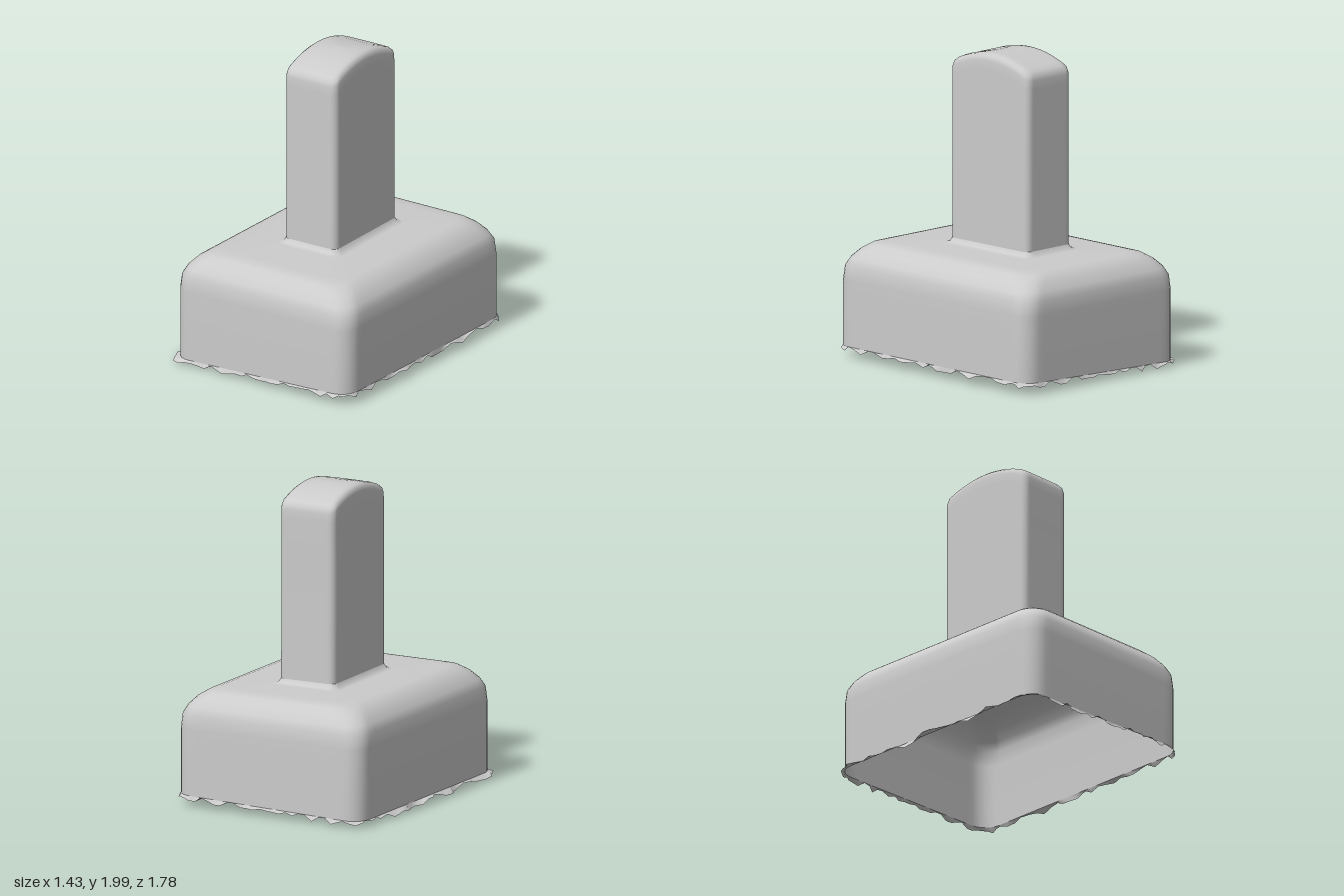
import * as THREE from 'three';

const material = new THREE.MeshStandardMaterial({ color: 0xcccccc, side: THREE.DoubleSide });

// small seeded generator for the ragged rim
let seed = 7;
const rand = () => (seed = (seed * 16807) % 2147483647) / 2147483647;

// closed rounded rectangle, the same point count for every size
function roundedRect(hx, hz, r, perSide, perCorner = 6) {
  const pts = [];
  const corners = [[1, 1], [-1, 1], [-1, -1], [1, -1]];
  corners.forEach(([sx, sz], k) => {
    const arc = [];
    for (let i = 0; i <= perCorner; i++) {
      const a = (k + i / perCorner) * Math.PI / 2;
      arc.push([sx * (hx - r) + r * Math.cos(a), sz * (hz - r) + r * Math.sin(a)]);
    }
    pts.push(...arc);
    // straight run to the next corner
    const [nx, nz] = corners[(k + 1) % 4];
    const a = (k + 1) * Math.PI / 2;
    const end = [nx * (hx - r) + r * Math.cos(a), nz * (hz - r) + r * Math.sin(a)];
    const start = arc[perCorner];
    for (let i = 1; i < perSide; i++) {
      const t = i / perSide;
      pts.push([start[0] + (end[0] - start[0]) * t, start[1] + (end[1] - start[1]) * t]);
    }
  });
  return pts;
}

// skin over rings of [x, y, z] points, bottom to top
function loft(name, rings) {
  const n = rings[0].length;
  const index = [];
  for (let i = 0; i < rings.length - 1; i++) {
    for (let j = 0; j < n; j++) {
      const a = i * n + j, b = i * n + (j + 1) % n;
      index.push(a, a + n, b, b, a + n, b + n);
    }
  }
  const geo = new THREE.BufferGeometry();
  geo.setAttribute('position', new THREE.Float32BufferAttribute(rings.flat(2), 3));
  geo.setIndex(index);
  geo.computeVertexNormals();
  const mesh = new THREE.Mesh(geo, material);
  mesh.name = name;
  return mesh;
}

// ring: place a rounded rectangle at a height, turned and offset
function ring([y, hx, hz, r], { cx, cz, turn, perSide, height = (x, y) => y }) {
  return roundedRect(hx, hz, r, perSide).map(([x, z]) => [
    cx + x * Math.cos(turn) + z * Math.sin(turn),
    height(x, y, z),
    cz - x * Math.sin(turn) + z * Math.cos(turn),
  ]);
}

export function createModel() {
  const group = new THREE.Group();

  const basePlace = { cx: 0.01, cz: -0.015, turn: 0.025, perSide: 24 };
  const gripPlace = { cx: 0.005, cz: -0.043, turn: 0.04, perSide: 24 };

  // hollow base: walls, bevelled shoulder, open underneath
  const baseSections = [
    [0.06, 0.668, 0.855, 0.12],
    [0.2, 0.668, 0.855, 0.12],
    [0.5, 0.668, 0.855, 0.12],
    [0.59, 0.662, 0.85, 0.13],
    [0.64, 0.637, 0.825, 0.13],
    [0.69, 0.592, 0.785, 0.13],
    [0.725, 0.54, 0.74, 0.13],
    [0.738, 0.49, 0.69, 0.12],
    [0.742, 0.43, 0.62, 0.1],
  ];
  const baseRings = baseSections.map((s, i) => ring(s, {
    ...basePlace,
    height: (x, y) => (i === 0 ? y + 0.028 * x : y), // lower edge slopes a little
  }));
  // top face runs in to the foot of the grip, which opens into the hollow
  baseRings.push(ring([0.746, 0.24, 0.385, 0.07], gripPlace));
  baseRings.push(ring([0.754, 0.212, 0.36, 0.055], gripPlace));
  baseRings.push(ring([0.78, 0.197, 0.344, 0.045], gripPlace));
  group.add(loft('base', baseRings));

  // ragged flange along the open lower edge
  const flange = baseRings[0].map(([x, y, z]) => {
    const reach = 1 + (x < -0.5 ? 0.02 + 0.06 * rand() : 0.005 + 0.035 * rand());
    const side = Math.abs(x) > 0.6;
    return [x * reach, Math.max(0.004, y - 0.035 + 0.04 * rand()), z * (side ? 1 : 1 + (reach - 1) * 0.6)];
  });
  group.add(loft('raggedRim', [flange, baseRings[0]]));

  // upright grip with an arched top running front to back
  const gripSections = [
    [0.78, 0.197, 0.344, 0.045],
    [1.2, 0.196, 0.344, 0.045],
    [1.6, 0.196, 0.345, 0.045],
    [1.9, 0.195, 0.346, 0.045],
    [1.955, 0.194, 0.345, 0.045],
    [1.982, 0.187, 0.338, 0.045],
    [1.996, 0.168, 0.318, 0.04],
    [2.0, 0.14, 0.28, 0.03],
    [2.0, 0.09, 0.18, 0.02],
    [2.0, 0.04, 0.08, 0.01],
    [2.0, 0.0001, 0.0001, 0.00005],
  ];
  const gripRings = gripSections.map((s, i) => ring(s, {
    ...gripPlace,
    height: (x, y, z) => (i < 3 ? y : y - 0.085 * (z / 0.345) ** 2),
  }));
  group.add(loft('grip', gripRings));

  return group;
}
